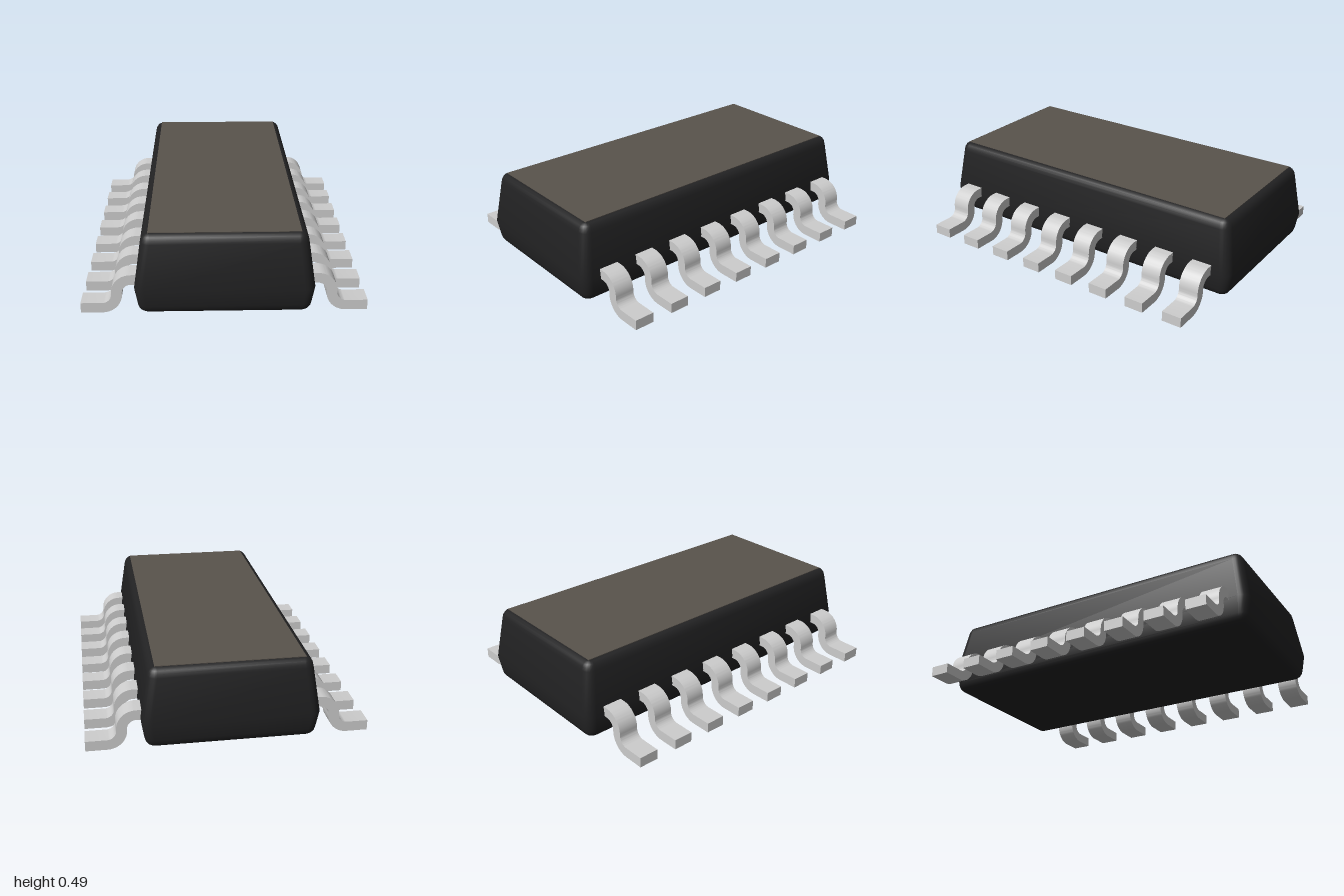
import * as THREE from 'three';
import { toCreasedNormals } from 'three/addons/utils/BufferGeometryUtils.js';

const HALF_X = 0.478, HALF_Z = 1.0;

// Body levels from bottom to top: [height, inset from widest outline, corner radius]
const LEVELS = [
  [0.035, 0.062, 0.015], [0.039, 0.045, 0.028], [0.05, 0.03, 0.04], [0.066, 0.02, 0.046], [0.085, 0.015, 0.05],
  [0.18, 0, 0.055],
  [0.435, 0.038, 0.05], [0.455, 0.043, 0.046], [0.47, 0.052, 0.038], [0.48, 0.064, 0.025], [0.484, 0.078, 0.006],
];

// Rounded-rectangle rings joined into a closed moulded block
function bodyGeometry() {
  const pos = [], index = [], steps = 5, n = 4 * (steps + 1);
  for (const [y, inset, r] of LEVELS) {
    const cx = HALF_X - inset - r, cz = HALF_Z - inset - r;
    for (let q = 0; q < 4; q++) {
      const sx = q === 0 || q === 3 ? 1 : -1, sz = q < 2 ? 1 : -1;
      for (let s = 0; s <= steps; s++) {
        const a = (q + s / steps) * Math.PI / 2;
        pos.push(sx * cx + r * Math.cos(a), y, sz * cz + r * Math.sin(a));
      }
    }
  }
  const last = LEVELS.length - 1, bottom = pos.length / 3, top = bottom + 1;
  pos.push(0, LEVELS[0][0], 0, 0, LEVELS[last][0], 0);
  for (let j = 0; j < n; j++) {
    const k = (j + 1) % n;
    for (let i = 0; i < last; i++) {
      const a = i * n + j, b = i * n + k, c = a + n, d = b + n;
      index.push(a, c, b, b, c, d);
    }
    index.push(bottom, j, k, top, last * n + k, last * n + j);
  }
  const g = new THREE.BufferGeometry();
  g.setAttribute('position', new THREE.Float32BufferAttribute(pos, 3));
  g.setIndex(index);
  return toCreasedNormals(g, 0.55);
}

// S-bent lead: side profile of constant thickness, extruded to the lead's width
function leadGeometry(width) {
  const outer = 0.108, inner = 0.05, H = Math.PI / 2;
  const upX = 0.5, upY = 0.117, lowX = 0.658, lowY = 0.108;
  const s = new THREE.Shape();
  s.moveTo(0.44, upY + inner);
  s.lineTo(upX, upY + inner);
  s.absarc(upX, upY, inner, H, 0, true);
  s.absarc(lowX, lowY, outer, Math.PI, 3 * H, false);
  s.lineTo(0.775, 0);
  s.lineTo(0.775, lowY - inner);
  s.lineTo(lowX, lowY - inner);
  s.absarc(lowX, lowY, inner, 3 * H, Math.PI, true);
  s.absarc(upX, upY, outer, 0, H, false);
  s.lineTo(0.44, upY + outer);
  s.closePath();
  const g = new THREE.ExtrudeGeometry(s, { depth: width, bevelEnabled: false, curveSegments: 10 });
  g.translate(0, 0, -width / 2);
  return toCreasedNormals(g, 0.5);
}

export function createModel() {
  const black = new THREE.MeshStandardMaterial({ name: 'black plastic', color: 0x222223 });
  const taupe = new THREE.MeshStandardMaterial({ name: 'grey brown top', color: 0x59534c });
  const metal = new THREE.MeshStandardMaterial({ name: 'light grey metal', color: 0xcdcdcd });

  const model = new THREE.Group();
  model.name = 'circuitChip';
  const add = (name, geometry, material, parent = model) => {
    const m = new THREE.Mesh(geometry, material);
    m.name = name;
    parent.add(m);
    return m;
  };

  add('body', bodyGeometry(), black);

  // Thin coloured face on top of the body
  add('topPlate', new THREE.BoxGeometry(0.8, 0.005, 1.844), taupe).position.y = 0.485;

  // Eight leads per side; the other side is turned half a circle
  const lead = leadGeometry(0.115);
  for (const [name, turn] of [['leftLeads', 0], ['rightLeads', Math.PI]]) {
    const row = new THREE.Group();
    row.name = name;
    row.rotation.y = turn;
    for (let i = 0; i < 8; i++) add('lead', lead, metal, row).position.z = (i - 3.5) * 0.2388;
    model.add(row);
  }
  return model;
}
